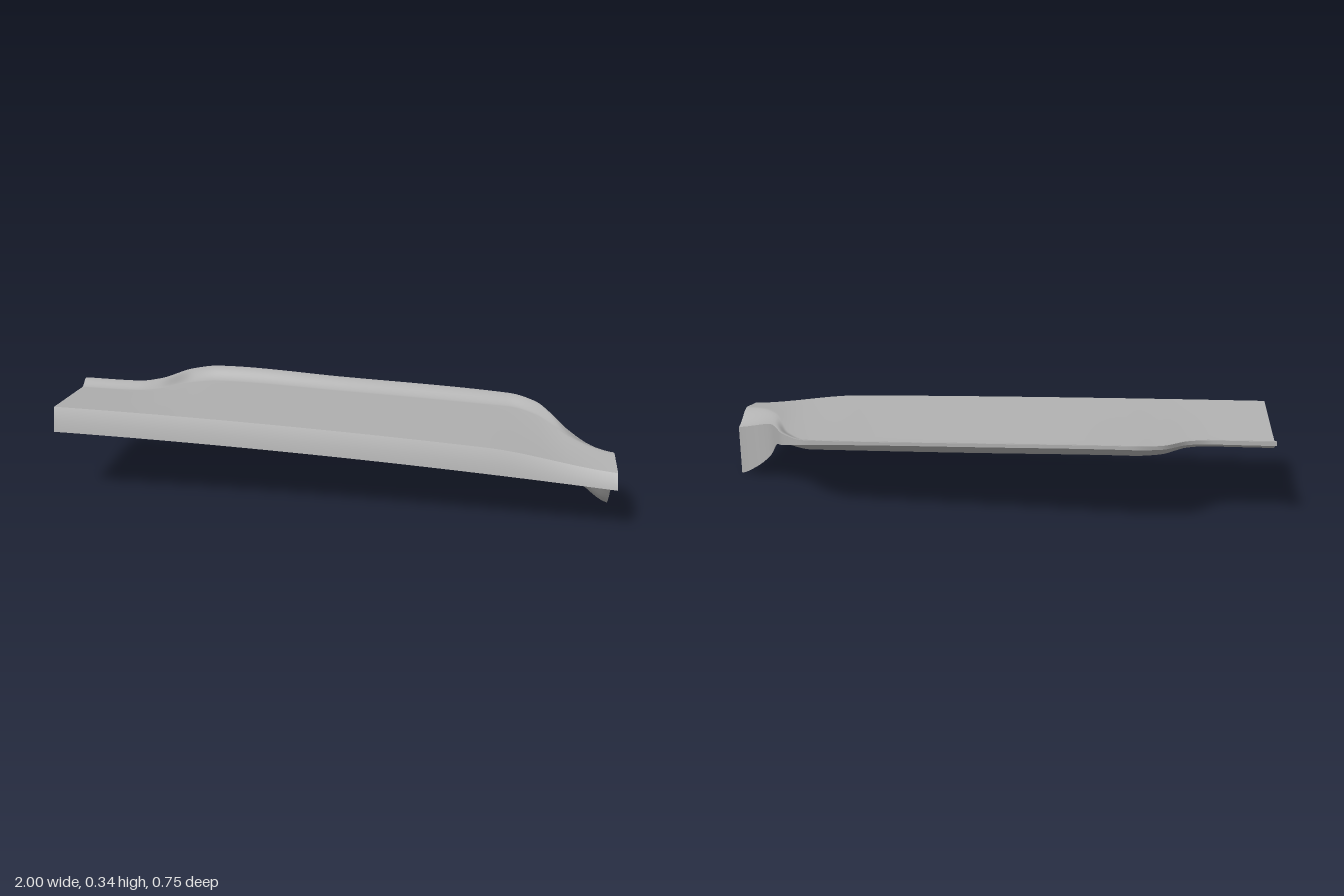
import * as THREE from 'three';

// Stations along the span:
// x, rear edge z, rear edge top y, rear edge bottom y, top valley y, top lip width, bottom valley y, bottom lip width
const STATIONS = [
  [-1.00, -0.230, 0.318, 0.302, 0.296, 0.06, 0.264, 0.09],
  [-0.78, -0.222, 0.313, 0.298, 0.292, 0.06, 0.260, 0.09],
  [-0.70, -0.250, 0.318, 0.304, 0.292, 0.06, 0.260, 0.10],
  [-0.60, -0.345, 0.332, 0.318, 0.294, 0.07, 0.262, 0.11],
  [-0.50, -0.376, 0.338, 0.325, 0.298, 0.08, 0.262, 0.12],
  [0.00, -0.338, 0.317, 0.304, 0.282, 0.08, 0.240, 0.12],
  [0.65, -0.280, 0.287, 0.270, 0.256, 0.08, 0.207, 0.13],
  [0.75, -0.200, 0.280, 0.236, 0.254, 0.09, 0.196, 0.13],
  [0.80, -0.100, 0.267, 0.200, 0.252, 0.10, 0.186, 0.14],
  [0.85, 0.000, 0.243, 0.120, 0.248, 0.11, 0.174, 0.15],
  [0.93, 0.075, 0.208, 0.040, 0.238, 0.12, 0.160, 0.16],
  [1.00, 0.100, 0.190, 0.000, 0.230, 0.125, 0.150, 0.17],
];

// Smooth interpolation of one station column without overshoot
function column(c, x) {
  const S = STATIONS, n = S.length;
  const secant = (k) => (S[k + 1][c] - S[k][c]) / (S[k + 1][0] - S[k][0]);
  const slope = (k) => {
    if (k === 0) return secant(0);
    if (k === n - 1) return c === 1 ? 0.1 : secant(n - 2) * 0.4;
    const a = secant(k - 1), b = secant(k);
    return a * b <= 0 ? 0 : (2 * a * b) / (a + b);
  };
  let k = 0;
  while (k < n - 2 && x > S[k + 1][0]) k++;
  const h = S[k + 1][0] - S[k][0], t = (x - S[k][0]) / h, u = 1 - t;
  return S[k][c] * (1 + 2 * t) * u * u + S[k + 1][c] * t * t * (3 - 2 * t)
    + h * t * u * (slope(k) * u - slope(k + 1) * t);
}

const FLAT = 8, LIP = 12;

// Flat run from p to v, then an S-shaped lip to e
function plate(p, v, e) {
  const pts = [];
  for (let i = 0; i < FLAT; i++) {
    const t = i / FLAT;
    pts.push([p[0] + (v[0] - p[0]) * t, p[1] + (v[1] - p[1]) * t]);
  }
  for (let i = 0; i <= LIP; i++) {
    const t = i / LIP, s = t * t * (3 - 2 * t);
    pts.push([v[0] + (e[0] - v[0]) * t, v[1] + (e[1] - v[1]) * s]);
  }
  return pts;
}

// Cross-section at x as four runs of [z, y]
function section(x) {
  const [zb, topY, botY, topV, topW, botV, botW] = [1, 2, 3, 4, 5, 6, 7].map((c) => column(c, x));
  const front = [0.277 + 0.083 * x + 0.0145 * x * x, 0.205 - 0.045 * x - 0.01 * x * x];
  const fade = THREE.MathUtils.smoothstep(x, 0.55, 1);
  const ridge = [front[0] - 0.023, front[1] + 0.088 - 0.033 * fade];
  const mid = [front[0] - 0.008, front[1] + (ridge[1] - front[1]) * 0.5];
  const top = [zb, topY], bottom = [zb, botY];
  return {
    frontFace: [front, mid, ridge],
    topSurface: plate(ridge, [zb + topW, topV], top),
    rearEdge: [top, bottom],
    underside: plate(front, [zb + botW, botV], bottom).reverse(),
  };
}

// Surface lofted through one run of every section
function loft(sections, key) {
  const pos = [], idx = [], m = sections[0].runs[key].length;
  sections.forEach(({ x, runs }, i) => {
    runs[key].forEach(([z, y], j) => {
      pos.push(x, y, z);
      if (i < sections.length - 1 && j < m - 1) {
        const a = i * m + j, b = a + m;
        idx.push(a, b, a + 1, b, b + 1, a + 1);
      }
    });
  });
  const g = new THREE.BufferGeometry();
  g.setAttribute('position', new THREE.Float32BufferAttribute(pos, 3));
  g.setIndex(idx);
  g.computeVertexNormals();
  return g;
}

// Flat end cap facing +x (side 1) or -x (side -1), with round holes
function endCap(runs, side, holes = []) {
  const outline = Object.values(runs).flatMap((r) => r.slice(0, -1));
  const shape = new THREE.Shape(outline.map(([z, y]) => new THREE.Vector2(-side * z, y)));
  for (const [z, y, r] of holes) {
    shape.holes.push(new THREE.Path().absarc(-side * z, y, r, 0, Math.PI * 2, true));
  }
  return new THREE.ShapeGeometry(shape, 16).rotateY(side * Math.PI / 2).translate(side, 0, 0);
}

export function createModel() {
  const group = new THREE.Group();
  group.name = 'blade';
  const grey = new THREE.MeshStandardMaterial({ color: 0xb0b0b0 });
  grey.name = 'grey';
  const add = (name, geometry) => {
    const mesh = new THREE.Mesh(geometry, grey);
    mesh.name = name;
    group.add(mesh);
  };

  // Skin of the blade
  const N = 120, sections = [];
  for (let i = 0; i <= N; i++) {
    const x = -1 + (2 * i) / N;
    sections.push({ x, runs: section(x) });
  }
  for (const key of Object.keys(sections[0].runs)) add(key, loft(sections, key));

  // End faces, one with two pin holes
  add('leftEnd', endCap(sections[N].runs, 1));
  add('rightEnd', endCap(sections[0].runs, -1, [[0.146, 0.281, 0.018], [0.04, 0.276, 0.018]]));
  return group;
}
